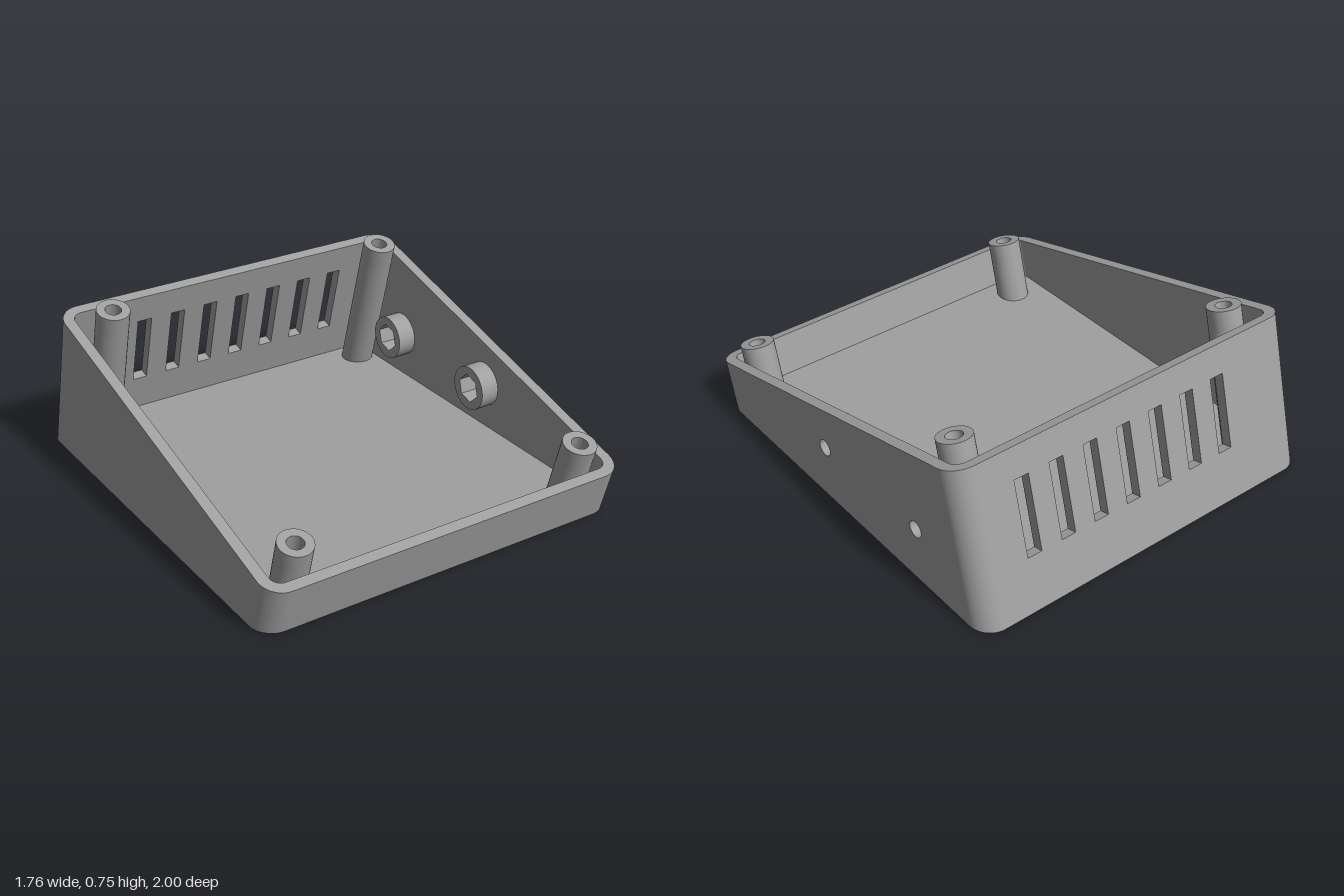
import * as THREE from 'three';
import { toCreasedNormals } from 'three/addons/utils/BufferGeometryUtils.js';

const TILT = THREE.MathUtils.degToRad(15);
const TAN = Math.tan(TILT), COS = Math.cos(TILT), SIN = Math.sin(TILT);

// Everything is laid out in the tilted frame; the ground there is y = z * TAN.
const W = 0.88, BACK = -0.965, FRONT = 0.909, TOP = 0.47, WALL = 0.05, R = 0.1;
const CX = W - R, ZB = BACK + R, ZF = FRONT - R; // corner centres
const ground = (h = 0) => z => z * TAN + h / COS;
const level = y => () => y;

export function createModel() {
  const grey = new THREE.MeshStandardMaterial({ color: 0xa0a0a0 });
  grey.name = 'grey plastic';

  const model = new THREE.Group();
  model.name = 'slopedEnclosure';
  const body = new THREE.Group();
  body.name = 'tiltedBody';
  body.rotation.x = TILT;
  model.add(body);

  const add = (name, geometry) => {
    const mesh = new THREE.Mesh(toCreasedNormals(geometry, 0.5), grey);
    mesh.name = name;
    body.add(mesh);
  };
  const extrude = (shape, depth) =>
    new THREE.ExtrudeGeometry(shape, { depth, bevelEnabled: false, curveSegments: 16 });
  const moveY = (geometry, rule) => {
    const p = geometry.attributes.position;
    for (let i = 0; i < p.count; i++) p.setY(i, rule(p.getY(i), p.getZ(i)));
    return geometry;
  };
  // Plan shape (x, z) raised between a lower and an upper surface
  const prism = (shape, low, high) =>
    moveY(extrude(shape, 1).rotateX(Math.PI / 2), (y, z) => (y > -0.5 ? high(z) : low(z)));
  // Shape (-z, y) extruded along x
  const sideways = (shape, x, depth) => extrude(shape, depth).rotateY(Math.PI / 2).translate(x, 0, 0);

  const ellipse = (x, y, rx, ry = rx) => new THREE.Path().absellipse(x, y, rx, ry, 0, Math.PI * 2);
  const disc = (x, y, r) => new THREE.Shape().absarc(x, y, r, 0, Math.PI * 2);
  const polygon = pts => new THREE.Shape(pts.map(([x, y]) => new THREE.Vector2(x, y)));

  // Left and front walls with three rounded corners
  const H = Math.PI / 2, r = R - WALL;
  const wrap = new THREE.Shape();
  wrap.absarc(-CX, ZB, R, 3 * H, 2 * H, true);
  wrap.absarc(-CX, ZF, R, 2 * H, H, true);
  wrap.absarc(CX, ZF, R, H, 0, true);
  wrap.absarc(CX, ZF, r, 0, H, false);
  wrap.absarc(-CX, ZF, r, H, 2 * H, false);
  wrap.absarc(-CX, ZB, r, 2 * H, 3 * H, false);
  add('leftAndFrontWall', prism(wrap, ground(), level(TOP)));

  // Remaining rounded corner
  const corner = new THREE.Shape();
  corner.absarc(CX, ZB, R, -H, 0, false);
  corner.absarc(CX, ZB, r, 0, -H, true);
  add('backCorner', prism(corner, ground(), level(TOP)));

  // Back wall with ventilation slots
  const back = polygon([[-CX, -0.25], [CX, -0.25], [CX, TOP], [-CX, TOP]]);
  for (let i = 0; i < 7; i++) {
    const x = -0.452 + i * 0.1727, h = 0.035;
    back.holes.push(polygon([[x - h, -0.015], [x - h, 0.333], [x + h, 0.333], [x + h, -0.015]]));
  }
  add('ventedBackWall', moveY(extrude(back, WALL).translate(0, 0, BACK),
    (y, z) => (y < -0.1 ? z * TAN : y)));

  // Side wall with two round holes, each backed by a boss with a hexagonal pocket
  const side = polygon([[-ZF, ZF * TAN], [-ZB, ZB * TAN], [-ZB, TOP], [-ZF, TOP]]);
  for (const wz of [0.1, -0.55]) {
    const a = 0.26 * SIN - wz * COS, y = 0.26 * COS + wz * SIN;
    side.holes.push(ellipse(a, y, 0.038));
    const boss = disc(a, y, 0.105);
    boss.holes.push(polygon(Array.from({ length: 6 }, (_, i) =>
      [a + 0.068 * Math.cos(i * Math.PI / 3), y + 0.068 * Math.sin(i * Math.PI / 3)])));
    add('nutBoss', sideways(boss, W - WALL - 0.09, 0.09));
  }
  add('sideWall', sideways(side, W - WALL, WALL));

  // Screw posts: wide bore from below, narrow bore at the top
  const posts = [];
  for (const x of [-0.68, 0.745]) for (const z of [-0.806, 0.748]) posts.push([x, z]);
  for (const [x, z] of posts) {
    const lower = disc(x, z, 0.076), upper = disc(x, z, 0.076);
    lower.holes.push(ellipse(x, z, 0.065));
    upper.holes.push(ellipse(x, z, 0.037));
    add('postShaft', prism(lower, ground(), level(0.435)));
    add('postTop', prism(upper, level(0.435), level(0.535)));
  }

  // Floor in two layers, the lower one pierced by round foot recesses
  const floorShape = () => {
    const s = new THREE.Shape();
    s.absarc(CX, ZF, r, 0, H, false);
    s.absarc(-CX, ZF, r, H, 2 * H, false);
    s.absarc(-CX, ZB, r, 2 * H, 3 * H, false);
    s.absarc(CX, ZB, r, 3 * H, 4 * H, false);
    for (const [x, z] of posts) s.holes.push(ellipse(x, z, 0.076));
    return s;
  };
  const lowerFloor = floorShape();
  for (const x of [-0.355, 0.355]) for (const z of [-0.715, 0.715])
    lowerFloor.holes.push(ellipse(x, z * COS, 0.12, 0.12 * COS));
  add('floorUnderside', prism(lowerFloor, ground(), ground(0.022)));
  add('floor', prism(floorShape(), ground(0.022), ground(0.05)));

  return model;
}
